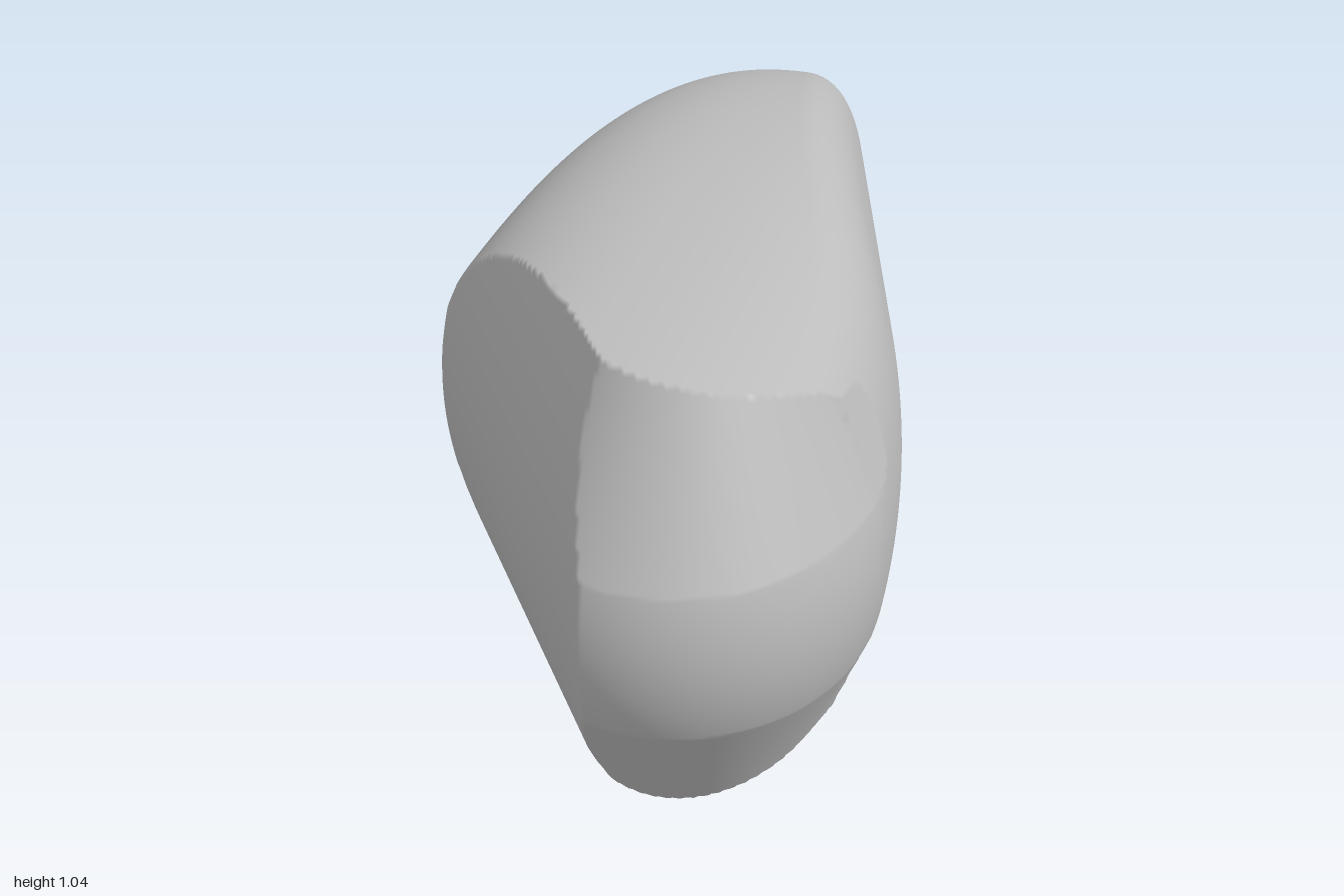
import * as THREE from 'three';

const MID = 0.52; // height of the mirror plane

// Smooth maximum: blends two limiting surfaces with a rounded corner
function blend(a, b, r) {
  const h = Math.max(r - Math.abs(a - b), 0) / r;
  return Math.max(a, b) + h * h * r * 0.25;
}

// Negative inside the stone, positive outside
function field(x, y, z) {
  const v = Math.abs(y - MID);

  // Rounded body: full superellipsoid at the back, prism at the front
  const back = Math.max(0.18 - z, 0) / 1.18;
  const side = x - 0.05 * Math.min(back, 1);
  const across = Math.abs(side) / (side < 0 ? 0.535 : 0.64);
  const sum = across ** 2.3 + (v / 0.52) ** 2.3 + back ** 2.6;
  const body = (sum ** (1 / 2.3) - 1) * 0.5;

  // Long side wall: straight at the back, bowing out towards the nose
  const t = Math.min(Math.max(z, 0), 0.6);
  const edge = 0.435 + 0.33 * Math.min(z, 0) + 0.33 * t - 0.275 * t * t;
  const wall = (x - edge + 0.5 * v * v) * 0.95;

  // Slanted front face, gently bowed over its height
  const slant = (z - 0.19 - 1.38 * (x + 0.53) + 0.8 * v * v) / 1.7;

  // Rounded nose with a straight chamfer above and below its middle band
  const inset = v < 0.17 ? 1.04 * v * v : 0.03 + (v - 0.17) * 0.588;
  const nx = Math.max((x - 0.13) / 0.405, -0.35);
  const nz = Math.max(z - 0.55, 0) / 0.45;
  const rho = Math.hypot(nx, nz);
  const forward = Math.sqrt(nz / Math.max(rho, 1e-6));
  const fade = 0.35 * Math.max(0.46 - z, 0);
  const nose = (rho - 1) * 0.45 + inset * (0.7 + 0.3 * forward) - fade;

  return Math.max(blend(body, wall, 0.08), slant, nose * 0.9);
}

// Push each vertex of a sphere out along its ray until it meets the surface
function stoneGeometry() {
  const geometry = new THREE.SphereGeometry(1, 300, 220);
  const pos = geometry.attributes.position;
  const nor = geometry.attributes.normal;
  const stretch = new THREE.Vector3(0.6, 0.6, 1);
  const d = new THREE.Vector3();
  const n = new THREE.Vector3();
  const e = 0.002;
  for (let i = 0; i < pos.count; i++) {
    d.fromBufferAttribute(pos, i).multiply(stretch).normalize();
    let lo = 0;
    let hi = 1.6;
    for (let k = 0; k < 24; k++) {
      const m = (lo + hi) / 2;
      if (field(d.x * m, MID + d.y * m, 0.1 + d.z * m) < 0) lo = m;
      else hi = m;
    }
    const x = d.x * lo, y = MID + d.y * lo, z = 0.1 + d.z * lo;
    pos.setXYZ(i, x, y, z);
    n.set(
      field(x + e, y, z) - field(x - e, y, z),
      field(x, y + e, z) - field(x, y - e, z),
      field(x, y, z + e) - field(x, y, z - e)
    ).normalize();
    nor.setXYZ(i, n.x, n.y, n.z);
  }
  return geometry;
}

export function createModel() {
  const grey = new THREE.MeshStandardMaterial({ color: 0xbcbcbc });
  grey.name = 'stone grey';

  const stone = new THREE.Mesh(stoneGeometry(), grey);
  stone.name = 'stoneBody';

  const model = new THREE.Group();
  model.name = 'stone';
  model.add(stone);
  return model;
}
